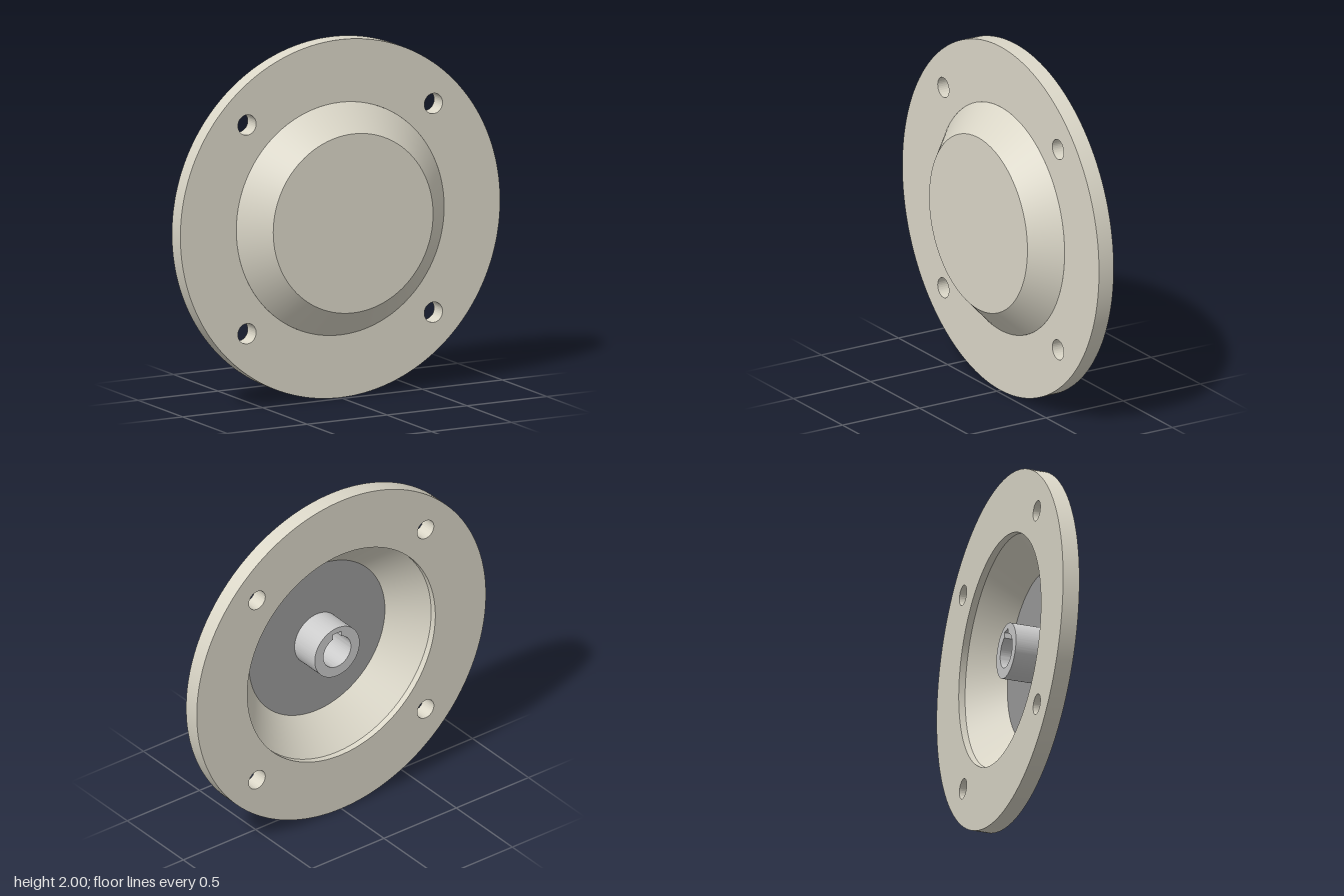
import * as THREE from 'three';
import { toCreasedNormals } from 'three/addons/utils/BufferGeometryUtils.js';

const SEGMENTS = 96;

function circlePath(Type, x, y, r) {
  return new Type().absarc(x, y, r, 0, Math.PI * 2, false);
}

// Extrude a shape along z between two depths, keeping hard rims crisp
function extrude(shape, z0, z1) {
  const g = new THREE.ExtrudeGeometry(shape, { depth: z1 - z0, bevelEnabled: false, curveSegments: SEGMENTS });
  g.translate(0, 0, z0);
  return toCreasedNormals(g, 0.5);
}

export function createModel() {
  const model = new THREE.Group();
  const beige = new THREE.MeshStandardMaterial({ color: 0xdbd7c8 });
  const grey = new THREE.MeshStandardMaterial({ color: 0xcccccc });
  const darkGrey = new THREE.MeshStandardMaterial({ color: 0x9c9c9c });

  const add = (name, geometry, material) => {
    const mesh = new THREE.Mesh(geometry, material);
    mesh.name = name;
    mesh.position.y = 1;
    model.add(mesh);
  };

  // Flat ring with four bolt holes
  const ring = circlePath(THREE.Shape, 0, 0, 1);
  ring.holes.push(circlePath(THREE.Path, 0, 0, 0.65));
  for (const sx of [-1, 1]) {
    for (const sy of [-1, 1]) {
      ring.holes.push(circlePath(THREE.Path, sx * 0.583, sy * 0.583, 0.057));
    }
  }
  add('flange', extrude(ring, -0.12, -0.025), beige);

  // Hollow conical dome: inner slope, outer slope, flat front
  const profile = [[0.47, 0.097], [0.65, -0.083], [0.65, -0.025], [0.5, 0.12], [0, 0.12]]
    .map(([r, z]) => new THREE.Vector2(r, z));
  const dome = new THREE.LatheGeometry(profile, SEGMENTS);
  dome.rotateX(Math.PI / 2);
  add('dome', toCreasedNormals(dome, 0.5), beige);

  // Floor of the recess, facing the back
  const floor = new THREE.CircleGeometry(0.47, SEGMENTS);
  floor.rotateY(Math.PI);
  floor.translate(0, 0, 0.097);
  add('innerPlate', floor, darkGrey);

  // Hub with a keyed bore
  const boreRadius = 0.095, keyHalf = 0.03, keyTop = 0.122;
  const a = Math.acos(keyHalf / boreRadius);
  const bore = new THREE.Path();
  bore.moveTo(keyHalf, keyTop);
  bore.lineTo(-keyHalf, keyTop);
  bore.absarc(0, 0, boreRadius, Math.PI - a, Math.PI * 2 + a, false);
  bore.closePath();
  const hub = circlePath(THREE.Shape, 0, 0, 0.155);
  hub.holes.push(bore);
  add('hub', extrude(hub, -0.083, 0.097), grey);

  return model;
}
